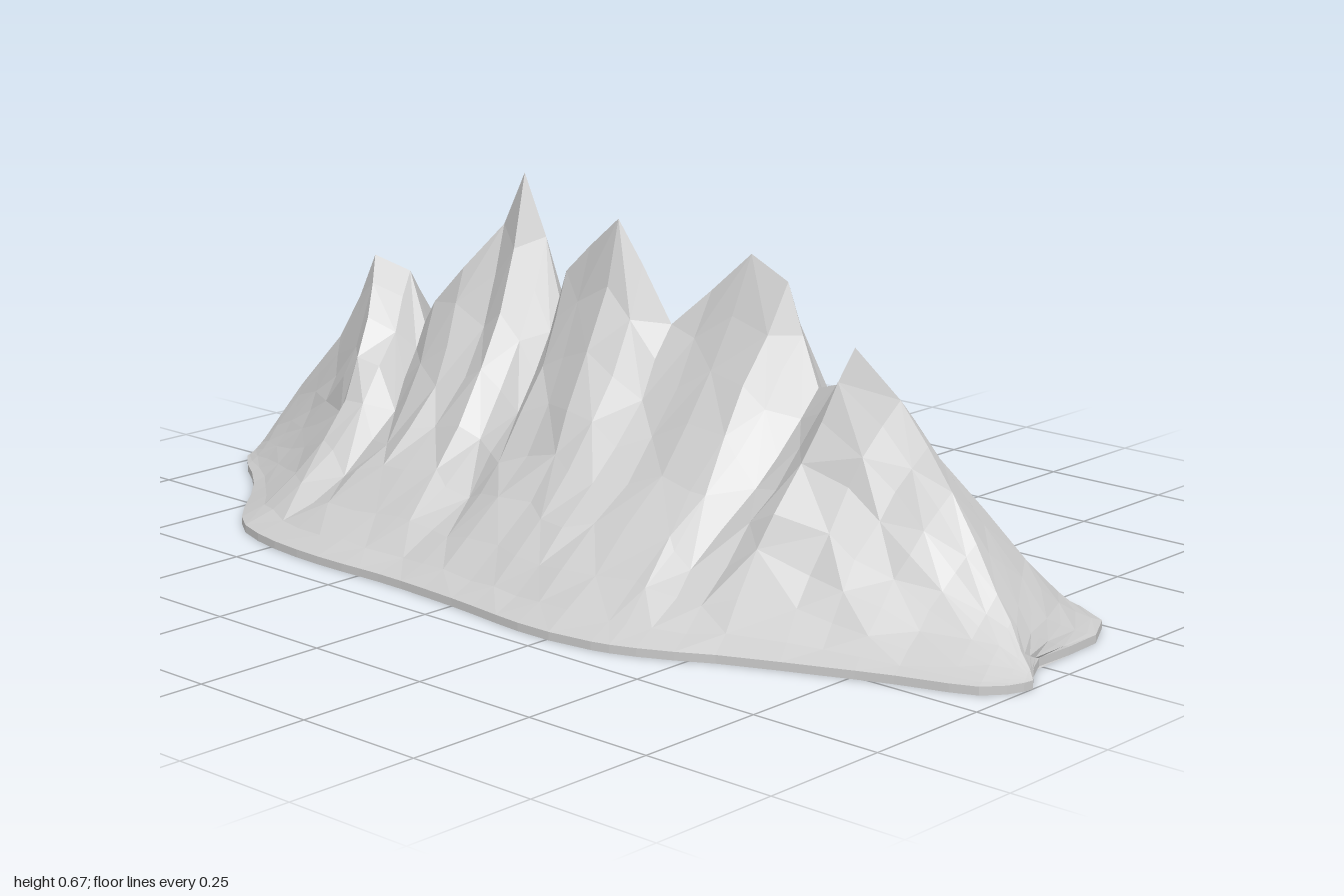
import * as THREE from 'three';

const BASE = 0.015; // thickness of the slab under the slopes
const ROWS = [0, 0.09, 0.2, 0.33, 0.47, 0.62, 0.77, 0.9, 1]; // ridge to foot

// crest line: x, height, z
const ridge = [
  [-1, 0.015, 0.02], [-0.97, 0.055, 0.015], [-0.93, 0.105, 0.01], [-0.88, 0.17, 0], [-0.82, 0.23, 0],
  [-0.76, 0.29, 0], [-0.7, 0.38, 0], [-0.655, 0.468, 0], [-0.61, 0.435, -0.05], [-0.55, 0.345, -0.03],
  [-0.49, 0.4, 0], [-0.42, 0.475, -0.01], [-0.36, 0.56, -0.06], [-0.295, 0.667, -0.05],
  [-0.25, 0.55, -0.06], [-0.2, 0.44, -0.045], [-0.14, 0.51, 0], [-0.08, 0.565, 0], [0, 0.627, 0.01],
  [0.055, 0.55, 0.005], [0.12, 0.45, 0], [0.18, 0.515, -0.04], [0.255, 0.588, -0.06],
  [0.34, 0.55, -0.06], [0.375, 0.46, -0.06], [0.42, 0.375, -0.05], [0.48, 0.395, -0.03],
  [0.54, 0.475, 0], [0.64, 0.4, 0], [0.7, 0.33, 0], [0.76, 0.265, 0.01], [0.82, 0.19, 0.02],
  [0.88, 0.12, 0.04], [0.92, 0.085, 0.055], [0.96, 0.05, 0.08], [0.985, 0.03, 0.09], [1, 0.015, 0.1],
];

// foot outlines: x, z, and the crest x each point belongs to
const frontFoot = [
  [-1, 0.02, -1], [-0.985, 0.058, -0.97], [-0.935, 0.1, -0.93], [-0.86, 0.15, -0.86], [-0.78, 0.22, -0.78],
  [-0.7, 0.31, -0.7], [-0.62, 0.38, -0.62], [-0.5, 0.417, -0.5], [-0.35, 0.43, -0.35], [-0.18, 0.427, -0.18],
  [0, 0.437, 0], [0.22, 0.457, 0.22], [0.36, 0.44, 0.36], [0.46, 0.4, 0.46], [0.55, 0.35, 0.55],
  [0.7, 0.285, 0.7], [0.82, 0.235, 0.82], [0.91, 0.205, 0.88], [0.955, 0.185, 0.92],
  [0.985, 0.15, 0.96], [0.997, 0.12, 0.985], [1, 0.1, 1],
];
const backFoot = [
  [-1, 0.02, -1], [-0.98, -0.025, -0.97], [-0.9, -0.1, -0.92], [-0.84, -0.18, -0.87], [-0.8, -0.27, -0.81],
  [-0.72, -0.34, -0.73], [-0.63, -0.37, -0.64], [-0.5, -0.385, -0.5], [-0.3, -0.4, -0.3], [-0.15, -0.425, -0.15],
  [0, -0.455, 0], [0.1, -0.46, 0.1], [0.2, -0.45, 0.2], [0.35, -0.41, 0.35], [0.5, -0.355, 0.5],
  [0.68, -0.32, 0.65], [0.8, -0.285, 0.74], [0.9, -0.235, 0.82], [0.935, -0.18, 0.87],
  [0.943, -0.08, 0.92], [0.94, 0, 0.96], [0.965, 0.05, 0.985], [1, 0.1, 1],
];

// how each side drops: peak fade power and sideways drift of the spurs
const frontSide = { fade: 6, drift: x => 0.02 - 0.1 * x };
const backSide = { fade: 4.5, drift: x => 0.05 * x };

let seed = 7;
function jitter(size) {
  seed = (seed * 16807) % 2147483647;
  return (seed / 2147483647 - 0.5) * 2 * size;
}

// smooth outline, looked up by crest x
function footFinder(points) {
  const curve = new THREE.CatmullRomCurve3(points.map(([x, z, key]) => new THREE.Vector3(x, key, z)));
  const fine = curve.getPoints(800);
  return key => fine.find(p => p.y >= key - 1e-4) || fine[fine.length - 1];
}

function crestHeight(x) {
  const i = Math.max(1, ridge.findIndex(p => p[0] >= Math.min(x, 1)));
  const [a, b] = [ridge[i - 1], ridge[i]];
  return THREE.MathUtils.lerp(a[1], b[1], THREE.MathUtils.clamp((x - a[0]) / (b[0] - a[0]), 0, 1));
}

// one slope line from the crest down to the foot
function slopeLine([rx, ry, rz], foot, side) {
  const rise = ry - BASE;
  const body = Math.min(rise, 0.43);
  const spur = ry - (crestHeight(rx - 0.13) + crestHeight(rx + 0.13)) / 2;
  const rough = Math.min(1, (rise / 0.35) ** 2);
  return ROWS.map(t => {
    const mid = t > 0 && t < 1 ? Math.sin(Math.PI * t) * rough : 0;
    const y = BASE + body * (1 - t) ** 1.25 + (rise - body) * (1 - t) ** side.fade
      + mid * (0.2 * spur * (1 - t) + jitter(0.009));
    return [
      THREE.MathUtils.lerp(rx, foot.x, t) + mid * (side.drift(rx) + jitter(0.009)),
      Math.max(BASE, y),
      THREE.MathUtils.lerp(rz, foot.z, t) + mid * jitter(0.014),
    ];
  });
}

// skin over neighbouring cross-sections, with alternating diagonals
function skin(sections) {
  const n = sections[0].length;
  const index = [];
  for (let i = 0; i < sections.length - 1; i++) {
    for (let j = 0; j < n - 1; j++) {
      const a = i * n + j, b = a + n, c = b + 1, d = a + 1;
      if ((i + j) % 2) index.push(a, d, b, b, d, c);
      else index.push(a, d, c, a, c, b);
    }
  }
  const geometry = new THREE.BufferGeometry();
  geometry.setAttribute('position', new THREE.Float32BufferAttribute(sections.flat(2), 3));
  geometry.setIndex(index);
  geometry.computeVertexNormals();
  return geometry;
}

export function createModel() {
  const group = new THREE.Group();
  group.name = 'mountainRange';
  const rock = new THREE.MeshStandardMaterial({ color: 0xcccccc });
  rock.name = 'pale grey rock';
  rock.flatShading = true;

  const frontAt = footFinder(frontFoot);
  const backAt = footFinder(backFoot);

  // slopes: back foot, over the crest, to front foot
  const slopeSections = ridge.map(p => {
    const back = slopeLine(p, backAt(p[0]), backSide);
    const front = slopeLine(p, frontAt(p[0]), frontSide);
    return [...back.reverse(), ...front.slice(1)];
  });
  const slopes = new THREE.Mesh(skin(slopeSections), rock);
  slopes.name = 'slopes';

  // slab: front rim, underside, back rim
  const slabSections = slopeSections.map(s => {
    const back = s[0], front = s[s.length - 1];
    return [front, [front[0], 0, front[2]], [back[0], 0, back[2]], back];
  });
  const slab = new THREE.Mesh(skin(slabSections), rock);
  slab.name = 'baseSlab';

  group.add(slopes, slab);
  return group;
}
